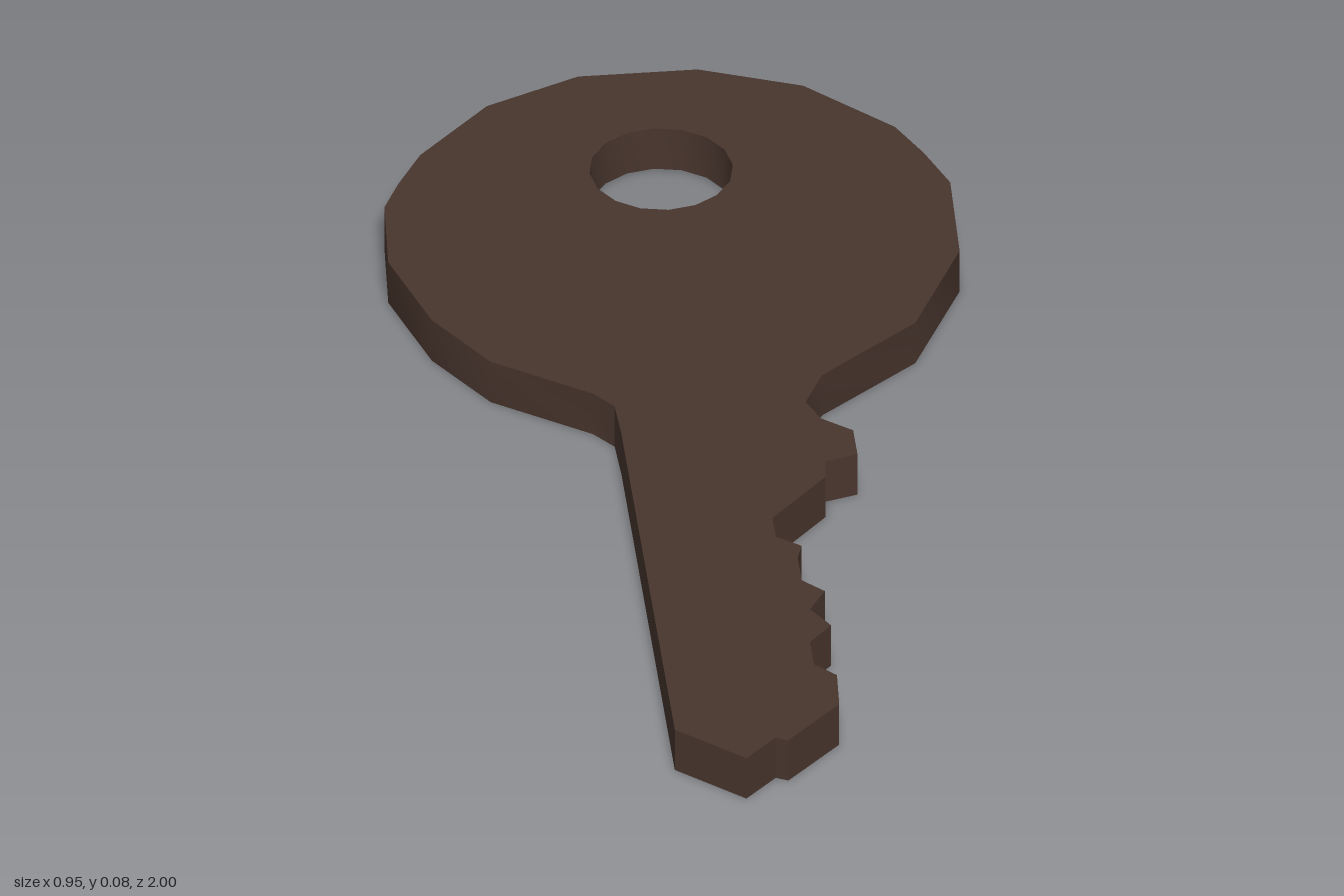
import * as THREE from 'three';
import { toCreasedNormals } from 'three/addons/utils/BufferGeometryUtils.js';

const THICKNESS = 0.082;

// Outline points as [x, z], running clockwise seen from above
const bowRight = [
  [-0.11, -1], [0.09, -1], [0.26, -0.935], [0.4, -0.8], [0.44, -0.72],
  [0.475, -0.63], [0.47, -0.43], [0.375, -0.23], [0.205, -0.095], [0.17, -0.02],
];
const shoulder = [
  [0.19, 0.03], [0.24, 0.07], [0.24, 0.14], [0.185, 0.155], [0.18, 0.2],
];
const teeth = [
  [0.08, 0.31], [0.08, 0.365], [0.12, 0.395], [0.11, 0.43], [0.11, 0.495],
  [0.145, 0.53], [0.115, 0.58], [0.145, 0.63], [0.105, 0.675], [0.105, 0.74],
  [0.14, 0.775], [0.135, 0.86],
];
const tip = [[0.04, 0.955], [0.02, 0.945], [-0.035, 1], [-0.145, 0.905]];
const bowLeft = [
  [-0.145, 0.04], [-0.148, -0.04], [-0.18, -0.08], [-0.34, -0.19], [-0.425, -0.32],
  [-0.48, -0.495], [-0.47, -0.655], [-0.44, -0.72], [-0.395, -0.8], [-0.27, -0.93],
];

export function createModel() {
  const darkBronze = new THREE.MeshStandardMaterial({ color: 0x48352d });
  darkBronze.name = 'darkBronze';

  // Flat key blank with its cut edge
  const outline = [...bowRight, ...shoulder, ...teeth, ...tip, ...bowLeft];
  const shape = new THREE.Shape(outline.map(([x, z]) => new THREE.Vector2(x, -z)));

  // Round hole for the key ring
  const hole = [];
  for (let i = 0; i < 16; i++) {
    const a = (i / 16) * Math.PI * 2;
    hole.push(new THREE.Vector2(0.12 * Math.cos(a), 0.718 + 0.119 * Math.sin(a)));
  }
  shape.holes.push(new THREE.Path(hole));

  // Lay it flat; the rounded head shades smoothly, the cuts stay sharp
  const geometry = new THREE.ExtrudeGeometry(shape, { depth: THICKNESS, bevelEnabled: false });
  geometry.rotateX(-Math.PI / 2);
  const blade = new THREE.Mesh(toCreasedNormals(geometry, THREE.MathUtils.degToRad(32)), darkBronze);
  blade.name = 'keyBody';

  const key = new THREE.Group();
  key.name = 'key';
  key.add(blade);
  return key;
}
